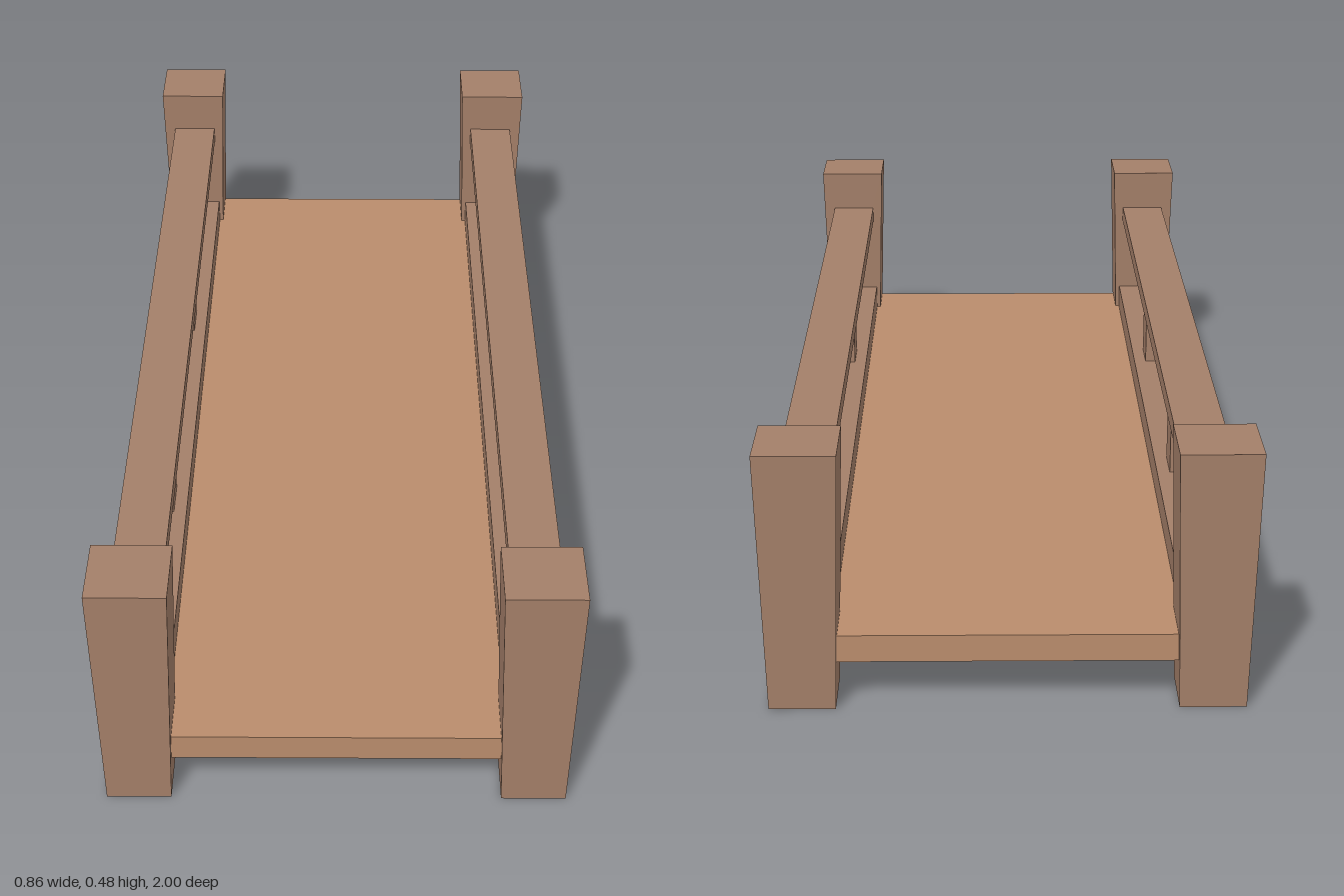
import * as THREE from 'three';

const frameMat = new THREE.MeshStandardMaterial({ color: 0xa47f69, flatShading: true });
const deckMat = new THREE.MeshStandardMaterial({ color: 0xba8c6c, flatShading: true });

// Box given by its lower and upper limits on each axis
function boxBetween(name, [x0, x1], [y0, y1], [z0, z1], material) {
  const mesh = new THREE.Mesh(new THREE.BoxGeometry(x1 - x0, y1 - y0, z1 - z0), material);
  mesh.position.set((x0 + x1) / 2, (y0 + y1) / 2, (z0 + z1) / 2);
  mesh.name = name;
  return mesh;
}

// Square post that widens towards the top
function taperedPost(height, bottom, top) {
  const geo = new THREE.BoxGeometry(1, height, 1).translate(0, height / 2, 0);
  const p = geo.attributes.position;
  for (let i = 0; i < p.count; i++) {
    const w = p.getY(i) > height / 2 ? top : bottom;
    p.setX(i, p.getX(i) * w);
    p.setZ(i, p.getZ(i) * w);
  }
  geo.computeVertexNormals();
  return geo;
}

export function createModel() {
  const model = new THREE.Group();
  model.name = 'footbridge';

  // Walkway
  model.add(boxBetween('deck', [-0.31, 0.31], [0.083, 0.133], [-0.972, 0.972], deckMat));

  const postGeo = taperedPost(0.477, 0.117, 0.143);
  for (const side of [1, -1]) {
    const label = side > 0 ? 'left' : 'right';
    const span = (a, b) => (side > 0 ? [a, b] : [-b, -a]);

    // Corner posts
    for (const end of [1, -1]) {
      const post = new THREE.Mesh(postGeo, frameMat);
      post.position.set(side * 0.357, 0, end * 0.9285);
      post.name = `${label}${end > 0 ? 'Front' : 'Back'}Post`;
      model.add(post);
    }

    // Side beam and handrail, ending inside the posts
    model.add(boxBetween(`${label}Beam`, span(0.303, 0.41), [0.035, 0.185], [-0.93, 0.93], frameMat));
    model.add(boxBetween(`${label}Handrail`, span(0.308, 0.402), [0.357, 0.39], [-0.93, 0.93], frameMat));

    // Short uprights between beam and handrail
    for (const z of [0.341, -0.322]) {
      model.add(boxBetween(`${label}Baluster`, span(0.328, 0.383), [0.18, 0.36], [z - 0.041, z + 0.041], frameMat));
    }
  }
  return model;
}
